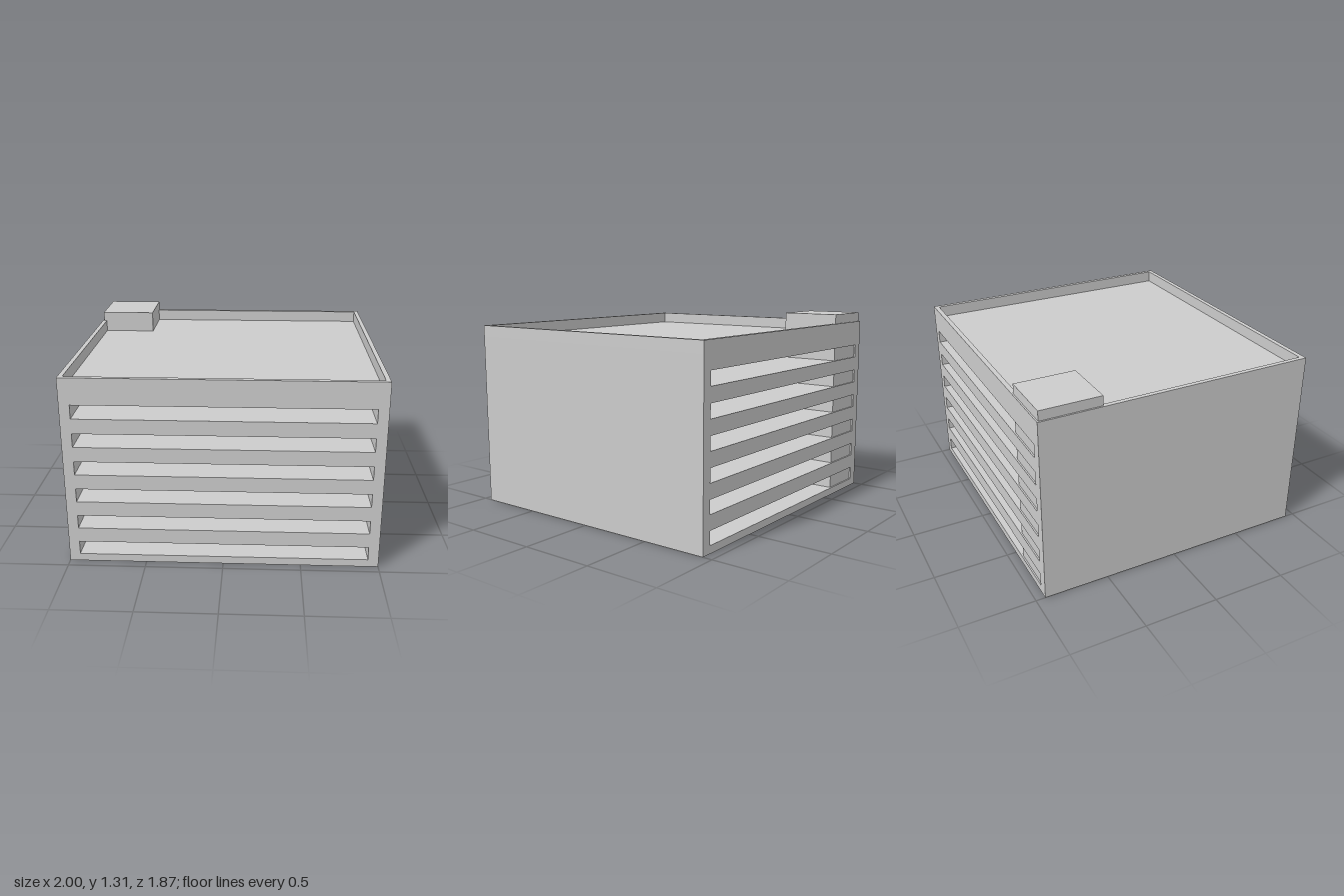
import * as THREE from 'three';

const W = 2, D = 1.874;            // footprint
const ROOF = 1.172, TOP = 1.25;    // roof deck and parapet heights
const FLOORS = 6, PITCH = 0.1873, SLOT_Y = 0.05, SLOT_H = 0.09, SLOT_X = 0.932;

// Rectangle outline, usable as a shape or a hole
function rect(PathType, x0, y0, x1, y1) {
  const p = new PathType();
  p.moveTo(x0, y0);
  p.lineTo(x1, y0);
  p.lineTo(x1, y1);
  p.lineTo(x0, y1);
  p.closePath();
  return p;
}

export function createModel() {
  const group = new THREE.Group();
  group.name = 'parkingBuilding';
  const material = new THREE.MeshStandardMaterial({ color: 0xcccccc });
  const add = (name, geometry) => {
    const mesh = new THREE.Mesh(geometry, material);
    mesh.name = name;
    group.add(mesh);
    return mesh;
  };

  // Solid side walls and floor slabs, with open decks running front to back
  const facade = rect(THREE.Shape, -W / 2, 0, W / 2, ROOF);
  for (let i = 0; i < FLOORS; i++) {
    const y = SLOT_Y + i * PITCH;
    facade.holes.push(rect(THREE.Path, -SLOT_X, y, SLOT_X, y + SLOT_H));
  }
  const body = new THREE.ExtrudeGeometry(facade, { depth: D, bevelEnabled: false });
  body.translate(0, 0, -D / 2);
  add('floorsAndWalls', body);

  // Parapet frame around the roof deck
  const frame = rect(THREE.Shape, -W / 2, -D / 2, W / 2, D / 2);
  frame.holes.push(rect(THREE.Path, -0.97, -0.905, 0.97, 0.905));
  const parapet = new THREE.ExtrudeGeometry(frame, { depth: TOP - ROOF, bevelEnabled: false });
  parapet.rotateX(-Math.PI / 2);
  parapet.translate(0, ROOF, 0);
  add('parapet', parapet);

  // Stair tower rising through every deck at the back corner
  const towerBase = 0.02, towerTop = 1.315;
  const tower = add('stairTower', new THREE.BoxGeometry(0.376, towerTop - towerBase, 0.404));
  tower.position.set(-0.801, (towerTop + towerBase) / 2, -0.725);

  return group;
}
